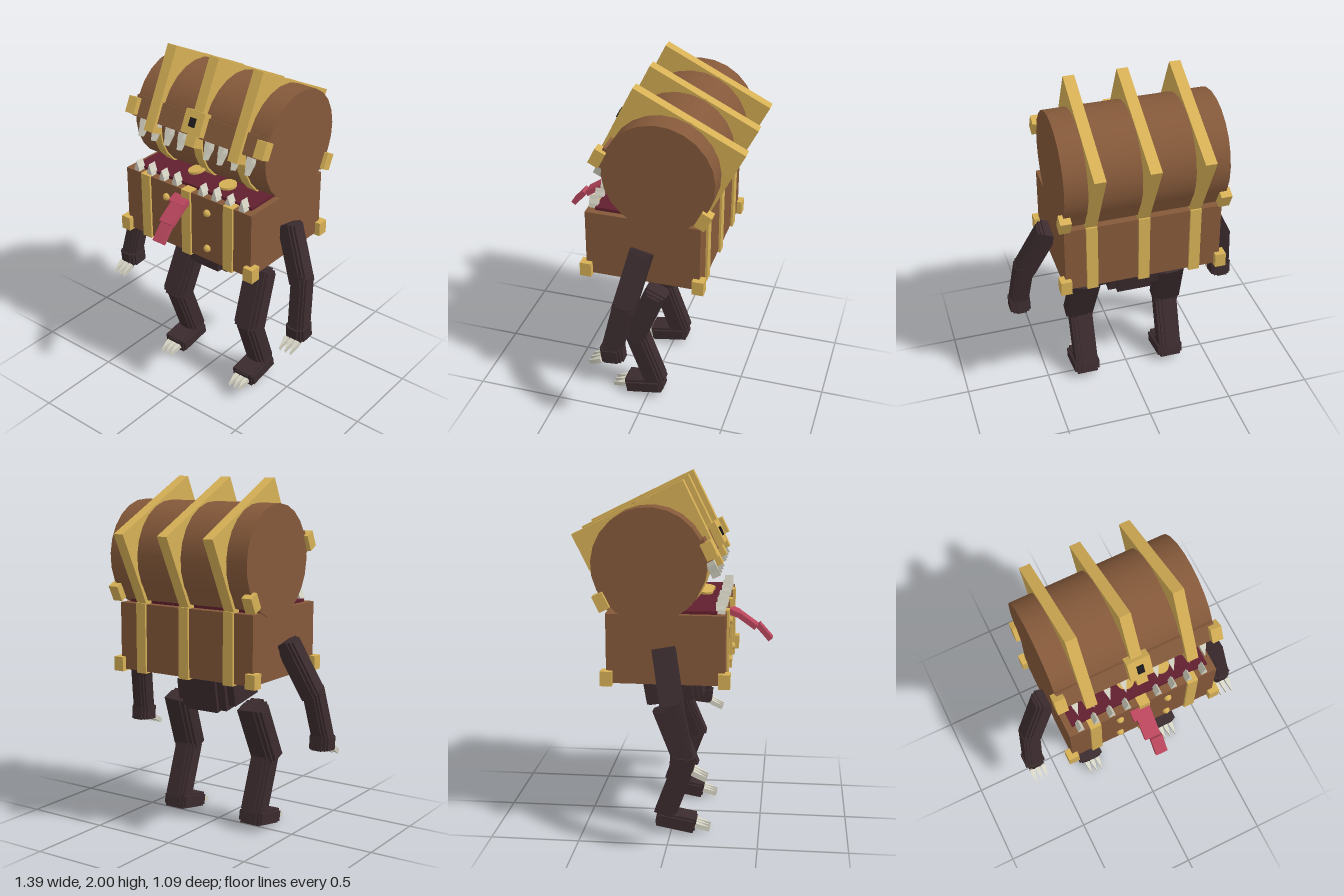
import * as THREE from 'three';

const mat = (name, color) => {
  const m = new THREE.MeshStandardMaterial({ color });
  m.name = name;
  return m;
};

export function createModel() {
  const wood = mat('brown wood', 0x85593a);
  const gold = mat('gold trim', 0xd6b056);
  const skin = mat('dark hide', 0x3b2b2e);
  const bone = mat('bone', 0xd6d4c4);
  const flesh = mat('mouth red', 0x611f2e);
  const pink = mat('tongue pink', 0xb8455c);
  const black = mat('keyhole black', 0x1c1a1c);

  const model = new THREE.Group();
  model.name = 'chestCreature';

  const add = (parent, name, geo, material, x = 0, y = 0, z = 0, rx = 0) => {
    const m = new THREE.Mesh(geo, material);
    m.name = name;
    m.position.set(x, y, z);
    m.rotation.x = rx;
    parent.add(m);
    return m;
  };
  const box = (parent, name, material, w, h, d, x, y, z, rx) =>
    add(parent, name, new THREE.BoxGeometry(w, h, d), material, x, y, z, rx);
  const group = (parent, name, x = 0, y = 0, z = 0, rx = 0) => {
    const g = new THREE.Group();
    g.name = name;
    g.position.set(x, y, z);
    g.rotation.x = rx;
    parent.add(g);
    return g;
  };

  // Spike: tapered outline of even thickness, point along +y
  const spike = (w, len, depth) => {
    const s = new THREE.Shape([
      [-w / 2, 0], [w / 2, 0], [w * 0.4, len * 0.35], [w * 0.16, len * 0.7], [0, len],
      [-w * 0.16, len * 0.7], [-w * 0.4, len * 0.35],
    ].map(p => new THREE.Vector2(...p)));
    return new THREE.ExtrudeGeometry(s, { depth, bevelEnabled: false }).translate(0, 0, -depth / 2);
  };

  // Knobbly block: three crossed boxes giving a stepped outline
  const block = (parent, name, w, h, d) => {
    const g = group(parent, name);
    box(g, name + 'Wide', skin, w, h * 0.9, d * 0.62, 0, 0, 0);
    box(g, name + 'Middle', skin, w * 0.8, h * 0.95, d * 0.85, 0, 0, 0);
    box(g, name + 'Deep', skin, w * 0.5, h, d, 0, 0, 0);
    return g;
  };

  // Limb segment between two points
  const segment = (parent, name, a, b, w, d) => {
    const p = new THREE.Vector3(...a), q = new THREE.Vector3(...b);
    const g = block(parent, name, w, p.distanceTo(q), d);
    g.position.copy(p).add(q).multiplyScalar(0.5);
    g.quaternion.setFromUnitVectors(new THREE.Vector3(0, 1, 0), p.sub(q).normalize());
  };

  const strapX = [-0.294, 0, 0.294];
  const toothX = [-4, -3, -2, -1, 1, 2, 3, 4].map(i => i * 0.0933);

  // Chest body
  const body = group(model, 'body');
  box(body, 'bodyBox', wood, 0.89, 0.385, 0.645, 0, 1.108, -0.015);
  box(body, 'mouthLining', flesh, 0.82, 0.06, 0.55, 0, 1.287, -0.015);
  for (const x of strapX) box(body, 'bodyStrap', gold, 0.063, 0.402, 0.67, x, 1.106, -0.015);
  for (const sx of [-1, 1]) {
    for (const z of [0.305, -0.335])
      box(body, 'bodyCorner', gold, 0.062, 0.082, 0.065, sx * 0.446, 0.946, z);
    for (const y of [0.99, 1.214])
      add(body, 'stud', new THREE.SphereGeometry(0.022, 12, 8), gold, sx * 0.146, y, 0.31);
  }
  toothX.forEach((x, i) =>
    add(body, 'lowerTooth', spike(0.038, i % 2 ? 0.07 : 0.062, 0.05), bone, x, 1.3, 0.277));

  // Loose coins in the mouth
  const coin = new THREE.CylinderGeometry(0.05, 0.05, 0.014, 16);
  add(body, 'coin', coin, gold, -0.045, 1.36, 0.165, 0.12).rotation.z = 0.2;
  add(body, 'coin', coin, gold, 0.17, 1.334, 0.16, 0.1).rotation.z = 0.05;

  // Tongue
  const tongue = group(model, 'tongue');
  box(tongue, 'tongueRoot', pink, 0.112, 0.03, 0.15, -0.029, 1.255, 0.29, 0.4);
  box(tongue, 'tongueMiddle', pink, 0.092, 0.03, 0.13, -0.02, 1.19, 0.405, 0.62);
  box(tongue, 'tongueTip', pink, 0.07, 0.03, 0.11, -0.005, 1.12, 0.504, 0.85);

  // Open lid, tilted back
  const lid = group(model, 'lid', 0, 1.462, -0.041, -0.46);
  const barrel = (r, len) => new THREE.CylinderGeometry(r, r, len, 24).rotateZ(Math.PI / 2);
  box(lid, 'lidRim', wood, 0.9, 0.12, 0.63, 0, 0.06, 0);
  add(lid, 'lidBarrel', barrel(0.309, 0.905), wood, 0, 0.12, -0.01);
  for (const x of strapX) {
    box(lid, 'lidStrap', gold, 0.063, 0.492, 0.672, x, 0.191, 0);
    add(lid, 'lidStrapRing', barrel(0.319, 0.056), gold, x, 0.12, -0.01);
  }
  for (const sx of [-1, 1]) for (const z of [0.318, -0.325])
    box(lid, 'lidCorner', gold, 0.062, 0.095, 0.062, sx * 0.446, 0.055, z);
  for (const x of toothX)
    add(lid, 'upperTooth', spike(0.04, 0.105, 0.05), bone, x, 0.005, 0.282, Math.PI);

  // Lock
  box(lid, 'lockPlate', gold, 0.13, 0.13, 0.055, 0, 0.075, 0.332);
  box(lid, 'keyhole', black, 0.038, 0.05, 0.02, 0, 0.075, 0.359);

  // Pelvis
  const pelvis = group(model, 'pelvis', 0, 0.81, -0.015, -0.17);
  box(pelvis, 'pelvisWide', skin, 0.39, 0.12, 0.24, 0, 0, 0);
  box(pelvis, 'pelvisMiddle', skin, 0.3, 0.17, 0.29, 0, 0, 0);
  box(pelvis, 'pelvisDeep', skin, 0.2, 0.19, 0.33, 0, 0, 0);

  // Arms and legs, mirrored
  for (const s of [-1, 1]) {
    const side = s > 0 ? 'left' : 'right';
    const claws = (parent, x, y, z, tilt) => {
      for (const i of [-1, 0, 1])
        add(parent, 'claw', spike(0.03, 0.085, 0.028), bone, x + i * 0.036, y, z, tilt);
    };

    const arm = group(model, side + 'Arm');
    segment(arm, 'upperArm', [s * 0.463, 1.12, -0.02], [s * 0.607, 0.81, 0.045], 0.12, 0.125);
    segment(arm, 'forearm', [s * 0.6, 0.87, 0.035], [s * 0.637, 0.55, 0.105], 0.105, 0.115);
    const hand = block(arm, 'hand', 0.12, 0.085, 0.13);
    hand.position.set(s * 0.633, 0.543, 0.098);
    hand.rotation.x = 0.1;
    claws(arm, s * 0.633, 0.503, 0.155, Math.PI / 2 + 0.5);

    const leg = group(model, side + 'Leg');
    segment(leg, 'thigh', [s * 0.255, 0.735, -0.045], [s * 0.278, 0.39, 0.095], 0.165, 0.13);
    segment(leg, 'shin', [s * 0.27, 0.43, 0.085], [s * 0.268, 0.09, -0.04], 0.135, 0.125);
    const foot = group(leg, 'foot', s * 0.268, 0.063, 0.028, 0.18);
    box(foot, 'footWide', skin, 0.155, 0.06, 0.2, 0, 0, 0);
    box(foot, 'footMiddle', skin, 0.125, 0.085, 0.215, 0, 0, 0);
    box(foot, 'footDeep', skin, 0.085, 0.07, 0.23, 0, 0, 0);
    claws(leg, s * 0.268, 0.045, 0.14, Math.PI / 2 + 0.32);
  }

  return model;
}
